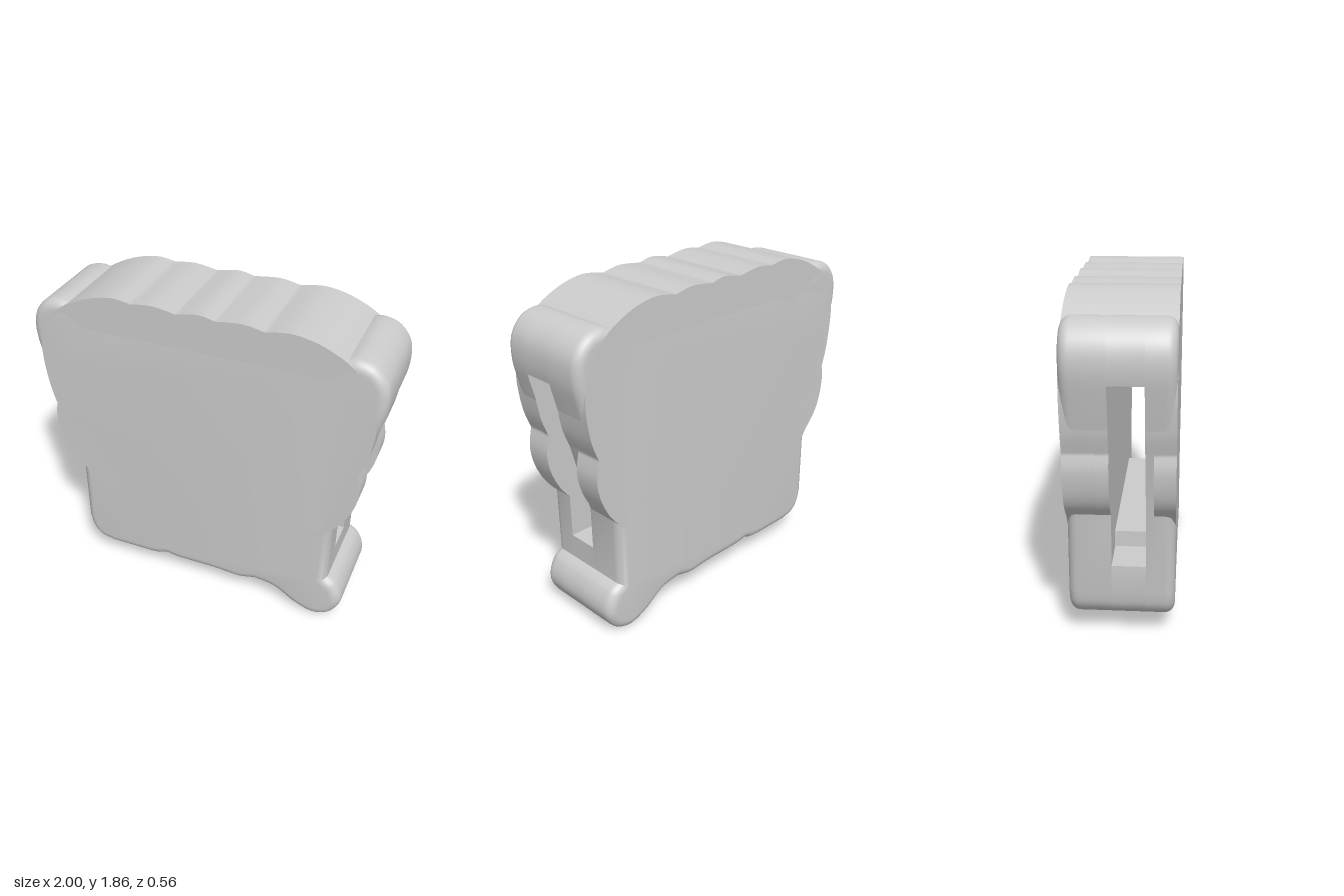
import * as THREE from 'three';
import { toCreasedNormals } from 'three/addons/utils/BufferGeometryUtils.js';

const material = new THREE.MeshStandardMaterial({ color: 0xcccccc });
const DEPTH = 0.28, SLOT_BACK = -0.05, SLOT_FRONT = 0.128;
const SLOT_LOW = 0.45, SLOT_HIGH = 1.48, BEVEL = 0.055;

// Joins smooth runs into one closed outline; the runs meet at sharp cusps.
function outline(runs) {
  const out = [];
  for (const run of runs) {
    const pts = run.map(([x, y]) => new THREE.Vector2(x, y));
    const s = pts.length > 2 ? new THREE.SplineCurve(pts).getPoints(pts.length * 5) : pts;
    out.push(...s.slice(0, -1));
  }
  return out;
}

// Keeps the part of an outline above (sign 1) or below (sign -1) a level.
function clip(pts, level, sign) {
  const out = [];
  pts.forEach((a, i) => {
    const b = pts[(i + 1) % pts.length];
    const da = (a.y - level) * sign, db = (b.y - level) * sign;
    if (da >= 0) out.push(a);
    if (da * db < 0) out.push(a.clone().lerp(b, da / (da - db)));
  });
  return out;
}

// Extrudes an outline from z0 to z1; a round can be put on the front or back rim.
function slab(name, pts, z0, z1, round = 0) {
  const a = round < 0 ? z0 + BEVEL : z0, b = round > 0 ? z1 - BEVEL : z1;
  let geo = new THREE.ExtrudeGeometry(new THREE.Shape(pts), {
    depth: b - a, bevelEnabled: round !== 0, bevelThickness: BEVEL,
    bevelSize: BEVEL, bevelOffset: -BEVEL, bevelSegments: 6,
  });
  geo.translate(0, 0, a);
  // flatten the unwanted round onto the slab's flat side
  const p = geo.attributes.position;
  for (let i = 0; i < p.count; i++) p.setZ(i, THREE.MathUtils.clamp(p.getZ(i), z0, z1));
  geo = toCreasedNormals(geo, 0.6);
  const mesh = new THREE.Mesh(geo, material);
  mesh.name = name;
  return mesh;
}

// Scalloped cover; either cheek bulge can be left off.
function coverOutline(leftCheek, rightCheek) {
  const cheekL = [[0.78, 0.7], [0.84, 0.78], [0.89, 0.89], [0.908, 1.0], [0.89, 1.11]];
  const cheekR = [[-0.9, 1.11], [-0.91, 1.02], [-0.89, 0.9], [-0.85, 0.81], [-0.78, 0.73]];
  const ends = (run) => [run[0], run[run.length - 1]];
  return outline([
    [[-0.7, 0.62], [0.7, 0.62]],
    [[0.7, 0.62], [0.78, 0.7]],
    leftCheek ? cheekL : ends(cheekL),
    [[0.89, 1.11], [0.93, 1.22], [0.953, 1.36], [0.955, 1.46]],
    [[0.955, 1.46], [0.92, 1.61], [0.86, 1.69], [0.77, 1.77], [0.63, 1.835], [0.49, 1.86], [0.355, 1.84]],
    [[0.355, 1.84], [0.24, 1.86], [0.09, 1.845]],
    [[0.09, 1.845], [0, 1.862], [-0.125, 1.84]],
    [[-0.125, 1.84], [-0.26, 1.86], [-0.38, 1.847]],
    [[-0.38, 1.847], [-0.49, 1.86], [-0.63, 1.83], [-0.77, 1.765], [-0.87, 1.69], [-0.93, 1.6], [-0.955, 1.46]],
    [[-0.955, 1.46], [-0.95, 1.36], [-0.93, 1.22], [-0.9, 1.11]],
    rightCheek ? cheekR : ends(cheekR),
    [[-0.78, 0.73], [-0.7, 0.62]],
  ]);
}

// Rounded body with two upper corner lobes and a foot at lower left.
const bodyOutline = () => outline([
  [[-0.78, 0.7], [-0.78, 0.29]],
  [[-0.78, 0.29], [-0.758, 0.205], [-0.7, 0.14], [-0.61, 0.118]],
  [[-0.61, 0.118], [-0.45, 0.117], [-0.31, 0.12], [-0.24, 0.142]],
  [[-0.24, 0.142], [-0.15, 0.13], [0.05, 0.13], [0.15, 0.125], [0.24, 0.12], [0.34, 0.143]],
  [[0.34, 0.143], [0.46, 0.122], [0.58, 0.045], [0.7, 0.003], [0.8, 0.033], [0.86, 0.12],
    [0.862, 0.2], [0.825, 0.275], [0.775, 0.31]],
  [[0.775, 0.31], [0.78, 0.7]],
  [[0.78, 0.7], [0.89, 1.11]],
  [[0.89, 1.11], [0.96, 1.37], [0.995, 1.53], [0.985, 1.66], [0.92, 1.745], [0.83, 1.775], [0.76, 1.76]],
  [[0.76, 1.76], [0.66, 1.7]],
  [[0.66, 1.7], [-0.66, 1.7]],
  [[-0.66, 1.7], [-0.76, 1.76]],
  [[-0.76, 1.76], [-0.83, 1.775], [-0.92, 1.75], [-0.985, 1.67], [-1, 1.55], [-0.965, 1.37], [-0.9, 1.11]],
  [[-0.9, 1.11], [-0.78, 0.7]],
]);

export function createModel() {
  const group = new THREE.Group();
  group.name = 'slottedBlock';
  const body = bodyOutline();
  const full = coverOutline(true, true);

  // body: front and back halves with rounded rims, joined above and below the slot
  group.add(
    slab('bodyFront', body, SLOT_FRONT, DEPTH, 1),
    slab('bodyBack', body, -DEPTH, SLOT_BACK, -1),
    slab('bodyTop', clip(body, SLOT_HIGH, 1), SLOT_BACK, SLOT_FRONT),
    slab('bodyBottom', clip(body, SLOT_LOW, -1), SLOT_BACK, SLOT_FRONT),
  );

  // scalloped cover, with one cheek set back from the slot on each side
  group.add(
    slab('coverFront', full, 0.17, DEPTH),
    slab('coverFrontInner', coverOutline(true, false), SLOT_FRONT, 0.17),
    slab('coverBack', full, -DEPTH, -0.12),
    slab('coverBackInner', coverOutline(false, true), -0.12, SLOT_BACK),
    slab('coverTop', clip(full, SLOT_HIGH, 1), SLOT_BACK, SLOT_FRONT),
  );

  // raised steps inside the slot
  for (const [name, y0, y1, w] of [['slotFloor', SLOT_LOW, 0.54, 1.1], ['slotCeiling', 1.43, SLOT_HIGH, 1.2]]) {
    const step = new THREE.Mesh(new THREE.BoxGeometry(w, y1 - y0, SLOT_FRONT - SLOT_BACK), material);
    step.position.set(0, (y0 + y1) / 2, (SLOT_FRONT + SLOT_BACK) / 2);
    step.name = name;
    group.add(step);
  }
  return group;
}
